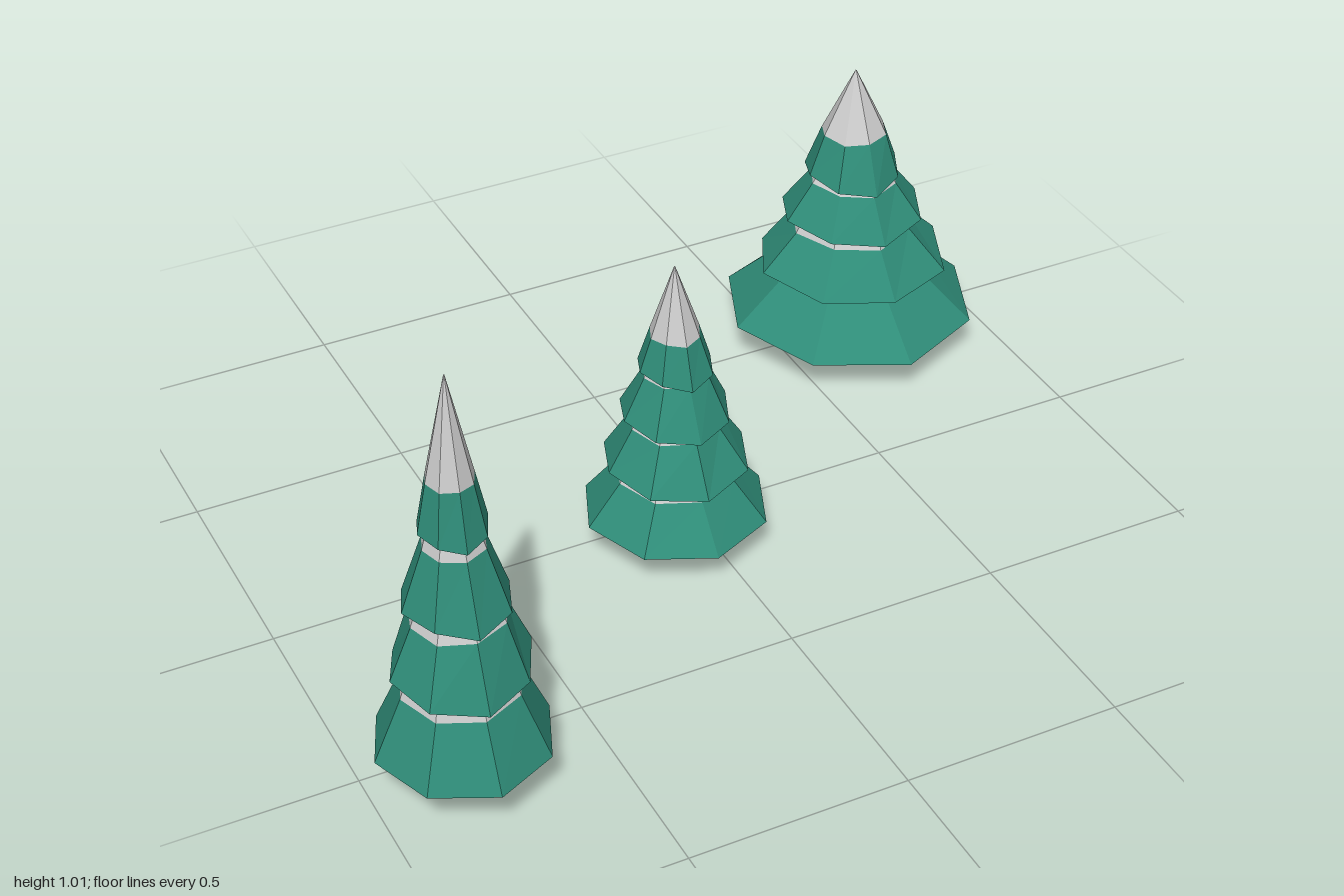
import * as THREE from 'three';

const SIDES = 8;
const needles = new THREE.MeshStandardMaterial({ color: 0x2f8c78, flatShading: true });
const snow = new THREE.MeshStandardMaterial({ color: 0xcccccc, flatShading: true });
const bark = new THREE.MeshStandardMaterial({ color: 0x7a543a, flatShading: true });

// Small seeded generator, returns -1..1
function seeded(seed) {
  let s = seed;
  return () => {
    s = (s * 16807) % 2147483647;
    return (s / 2147483647) * 2 - 1;
  };
}

// Eight-cornered ring; sag lowers the +-z corners and lifts the +-x corners
function ring(r, y, sag, rough, rand) {
  return Array.from({ length: SIDES }, (_, i) => {
    const a = (i / SIDES) * Math.PI * 2;
    const k = r * (1 + rand() * rough);
    return new THREE.Vector3(Math.cos(a) * k, y + sag * Math.cos(2 * a) + rand() * rough * 0.1, Math.sin(a) * k);
  });
}

// Skin between consecutive rings, with an optional closing underside
function skin(rings, underside) {
  const pts = [];
  for (let j = 0; j < rings.length - 1; j++) {
    for (let i = 0; i < SIDES; i++) {
      const n = (i + 1) % SIDES;
      const [lo, up] = [rings[j], rings[j + 1]];
      pts.push(lo[i], up[i], lo[n], lo[n], up[i], up[n]);
    }
  }
  if (underside !== undefined) {
    const c = new THREE.Vector3(0, underside, 0);
    for (let i = 0; i < SIDES; i++) pts.push(c, rings[0][i], rings[0][(i + 1) % SIDES]);
  }
  const g = new THREE.BufferGeometry().setFromPoints(pts);
  g.computeVertexNormals();
  return g;
}

function addMesh(group, name, geometry, material) {
  const m = new THREE.Mesh(geometry, material);
  m.name = name;
  group.add(m);
  return m;
}

// Tier: [rim radius, rim y, snow line radius, snow line y, top radius, top y]
function makeTree({ name, x, z, trunkR, sag, seed, tiers }) {
  const tree = new THREE.Group();
  tree.name = name;
  tree.position.set(x, 0, z);
  const rand = seeded(seed);

  const trunkH = tiers[0][1] + 0.06;
  addMesh(tree, 'trunk', new THREE.CylinderGeometry(trunkR * 0.9, trunkR, trunkH, SIDES), bark).position.y = trunkH / 2;

  tiers.forEach(([r0, y0, r1, y1, r2, y2], i) => {
    const rough = i === 0 ? 0.012 : 0.04;
    const rim = ring(r0, y0, i === 0 ? sag * 0.5 : sag, rough, rand);
    const line = ring(r1, y1, sag * 0.3, rough, rand);
    const top = ring(r2, y2, 0, 0, rand);
    addMesh(tree, `branchTier${i + 1}`, skin([rim, line], y0 + 0.015), needles);
    addMesh(tree, `snowTier${i + 1}`, skin([line, top]), snow);
  });
  return tree;
}

export function createModel() {
  const group = new THREE.Group();
  group.name = 'snowyPines';
  const trees = [
    {
      name: 'tallPine', x: -0.807, z: 0.603, trunkR: 0.022, sag: 0.012, seed: 11,
      tiers: [
        [0.192, 0.127, 0.13, 0.27, 0.1, 0.36],
        [0.15, 0.312, 0.102, 0.445, 0.07, 0.53],
        [0.113, 0.477, 0.068, 0.625, 0.045, 0.7],
        [0.073, 0.655, 0.051, 0.775, 0.001, 1.015],
      ],
    },
    {
      name: 'smallPine', x: -0.065, z: 0.067, trunkR: 0.019, sag: 0.012, seed: 27,
      tiers: [
        [0.214, 0.092, 0.135, 0.19, 0.1, 0.26],
        [0.167, 0.222, 0.105, 0.325, 0.075, 0.39],
        [0.127, 0.347, 0.075, 0.455, 0.05, 0.51],
        [0.085, 0.465, 0.057, 0.555, 0.001, 0.725],
      ],
    },
    {
      name: 'widePine', x: 0.682, z: -0.48, trunkR: 0.025, sag: 0.012, seed: 43,
      tiers: [
        [0.308, 0.095, 0.19, 0.2, 0.15, 0.27],
        [0.23, 0.225, 0.145, 0.325, 0.11, 0.4],
        [0.173, 0.355, 0.105, 0.45, 0.07, 0.51],
        [0.117, 0.468, 0.078, 0.575, 0.001, 0.738],
      ],
    },
  ];
  trees.forEach((t) => group.add(makeTree(t)));
  return group;
}
